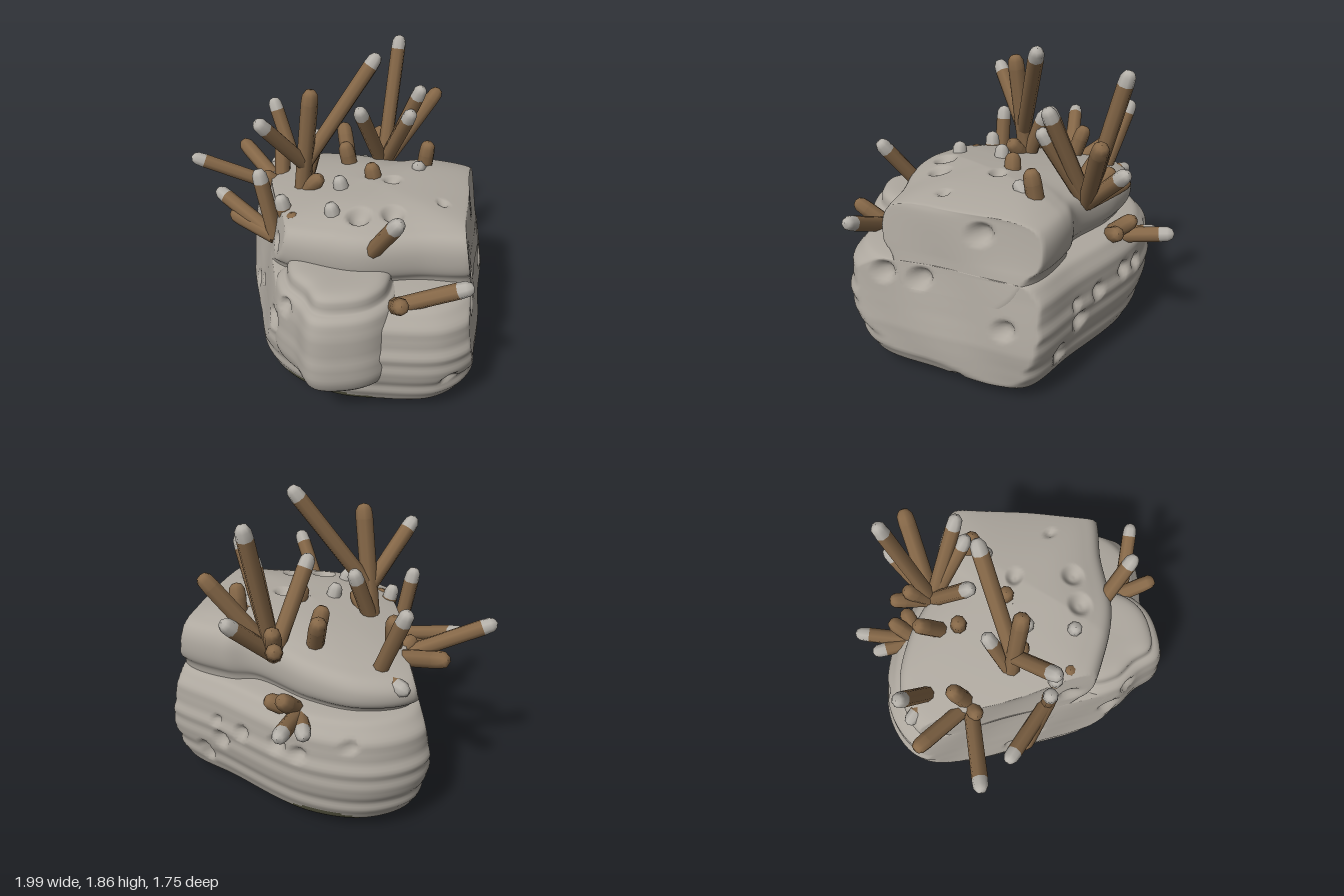
import * as THREE from 'three';

const mat = (name, color) => Object.assign(new THREE.MeshStandardMaterial({ color }), { name });

// Small seeded generator for scattered dimples
let seed = 7;
const random = () => (seed = (seed * 16807) % 2147483647) / 2147483647;
const scatter = (count, u0, u1, v0, v1) => Array.from({ length: count }, () =>
  [u0 + (u1 - u0) * random(), v0 + (v1 - v0) * random(), 0.04 + 0.03 * random()]);

// Dimples per face as [u, v, radius]: z faces use (x,y), x uses (z,y), y uses (x,z)
const frontDimples = [[-0.53, 0.36, 0.055], [-0.4, 0.46, 0.04], [-0.7, 0.22, 0.055], [-0.03, 0.54, 0.07], [0.1, 0.7, 0.06], [-0.18, 0.88, 0.06], [-0.68, 0.86, 0.06], [0.94, 0.27, 0.05]];
const sideDimples = [[0.07, 0.67, 0.075], [-0.13, 0.67, 0.075], [-0.42, 0.99, 0.075], [-0.61, 0.48, 0.07], [0.33, 0.3, 0.05], [-0.35, 0.08, 0.05]];
const topDimples = [[0.4, 0.16, 0.075], [0.26, 0.29, 0.08], [0.2, -0.13, 0.06], [0.57, -0.1, 0.04]];
const dimpledFaces = [
  ['z', 1, frontDimples], ['x', 1, sideDimples], ['y', 1, topDimples],
  ['z', -1, scatter(8, -0.7, 0.5, 0.15, 0.68)], ['y', -1, scatter(6, -0.2, 0.25, -0.2, 0.25)],
];

// Press the surface into the flat cut planes, then add the dimples
function weather(p, c) {
  const wave = 0.006 * (Math.sin(p.x * 9 + p.y * 5) + Math.sin(p.z * 11 - p.y * 7));
  const cut = (nx, nz, d) => {
    const over = Math.max(0, nx * p.x + nz * p.z - d - wave);
    p.x -= nx * over;
    p.z -= nz * over;
  };
  cut(-0.69, 0.724, 0.61 - 0.2 * Math.max(0, p.y - 0.25));
  cut(0.893, -0.45, 0.81 - 0.15 * Math.max(0, p.y - 0.35));
  const q = p.clone();
  for (const [axis, side, dimples] of dimpledFaces) {
    const a = axis === 'x' ? q.z : q.x, b = axis === 'y' ? q.z : q.y;
    const mid = axis === 'x' ? c[0] : axis === 'z' ? c[1] : 0.5;
    if ((q[axis] - mid) * side < 0.15) continue;
    for (const [u, v, r] of dimples) {
      const d = Math.hypot(a - u, b - v) / r;
      if (d < 1) p[axis] -= side * r * 0.6 * (1 - d * d) ** 2 * (1 + d);
    }
  }
  p.y = Math.max(0, p.y);
}

// Stone loft: a closed plan outline (clockwise from above) scaled along a [scale, height] profile
function stone(name, outline, c, profile, n, m, materials, { tilt = 0, ripple = 0, stain = () => false } = {}) {
  const ring = new THREE.CatmullRomCurve3(outline.map(([x, z]) => new THREE.Vector3(x, 0, z)), true).getSpacedPoints(n).slice(0, n);
  const rows = new THREE.CatmullRomCurve3(profile.map(([s, y]) => new THREE.Vector3(s, y, 0))).getSpacedPoints(m);
  const pts = [], plain = [], stained = [];
  for (const { x: s0, y } of rows) {
    const layers = s0 > 0.85 ? ripple * (Math.sin(y * 42) + 0.6 * Math.sin(y * 67 + 1)) : 0;
    const s = Math.max(0.001, s0 + layers);
    for (const r of ring) {
      const p = new THREE.Vector3(c[0] + (r.x - c[0]) * s, y, c[1] + (r.z - c[1]) * s);
      if (y > 0.75) p.y -= (y - 0.75) * tilt * Math.max(0, 0.2 - p.x);
      weather(p, c);
      pts.push(p);
    }
  }
  for (let i = 0; i < m; i++) for (let j = 0; j < n; j++) {
    const a = i * n + j, b = i * n + (j + 1) % n;
    (stain(pts[a]) ? stained : plain).push(a, a + n, b, b, a + n, b + n);
  }
  const g = new THREE.BufferGeometry().setFromPoints(pts);
  g.setIndex(plain.concat(stained));
  g.addGroup(0, plain.length, 0);
  g.addGroup(plain.length, stained.length, 1);
  g.computeVertexNormals();
  const mesh = new THREE.Mesh(g, materials);
  mesh.name = name;
  return mesh;
}

// Branch with a bevelled end
function makeBranch(base, end, r, shaftMat, tipMat) {
  const from = new THREE.Vector3(...base), dir = new THREE.Vector3(...end).sub(from);
  const len = dir.length(), join = len - 0.085;
  const branch = new THREE.Group();
  branch.name = 'branch';
  branch.position.copy(from);
  branch.quaternion.setFromUnitVectors(new THREE.Vector3(0, 1, 0), dir.normalize());
  const add = (name, points, material) => {
    const mesh = new THREE.Mesh(new THREE.LatheGeometry(points.map((p) => new THREE.Vector2(...p)), 8), material);
    mesh.name = name;
    branch.add(mesh);
  };
  add('branchFoot', [[0, 0], [r, 0]], shaftMat);
  add('branchShaft', [[r, 0], [r, join]], shaftMat);
  add('branchTip', [[r, join], [r * 0.92, len - 0.035], [r * 0.6, len - 0.01], [0, len]], tipMat);
  return branch;
}

export function createModel() {
  const model = new THREE.Group();
  const rock = mat('grey rock', 0xaea89f), soil = mat('dark olive soil', 0x5c5b45);
  const brown = mat('brown branch', 0x866848), pale = mat('pale tip', 0xb5b1aa);
  const rocks = [rock, soil];

  // Layered base, with dark hollows under the front and back rims
  const hollow = (p) => {
    const lens = (t) => p.y > 0.07 && p.y < 0.085 + 0.055 * (1 - t * t);
    return (p.z > 0.2 && lens((p.x - 0.24) / 0.44)) || (p.x < 0 && p.z < -0.2 && lens((p.x - p.z) / 0.35));
  };
  model.add(stone('rockBase',
    [[-0.93, -0.16], [-0.82, -0.44], [-0.5, -0.65], [0.14, -0.74], [0.54, -0.78], [0.68, -0.64], [0.85, -0.24],
      [0.99, 0.14], [0.92, 0.38], [0.63, 0.6], [0.4, 0.72], [0.1, 0.76], [-0.16, 0.69], [-0.47, 0.42], [-0.8, 0.1]],
    [0.03, 0],
    [[0, 0], [0.57, 0.012], [0.8, 0.05], [0.9, 0.11], [0.94, 0.2], [1, 0.4], [0.99, 0.55], [0.96, 0.68], [0.9, 0.74], [0.75, 0.77], [0, 0.8]],
    230, 130, rocks, { ripple: 0.006, stain: hollow }));

  // Upper slab, lower toward the -x end, running out into both cut planes
  model.add(stone('upperRock',
    [[0.82, -0.32], [0.53, -0.73], [0.15, -0.67], [0, -0.57], [-0.4, -0.52], [-0.68, -0.4], [-0.85, -0.15], [-0.76, 0.12],
      [-0.48, 0.42], [-0.15, 0.59], [0.1, 0.56], [0.38, 0.46], [0.64, 0.24], [0.93, 0]].reverse(),
    [0.05, -0.05],
    [[0.9, 0.6], [0.93, 0.79], [0.98, 0.84], [1, 0.9], [0.99, 0.99], [0.94, 1.05], [0.8, 1.09], [0.5, 1.13], [0, 1.15]],
    200, 75, rocks, { tilt: 0.35 }));

  // Rounded column bulging from the front, stepped in to a cap
  model.add(stone('frontBulge',
    [[0.1, 0.2], [0.5, 0.2], [0.64, 0.42], [0.63, 0.62], [0.53, 0.77], [0.36, 0.88], [0.19, 0.81], [0, 0.75], [-0.14, 0.58]],
    [0.28, 0.45],
    [[0.5, 0.18], [0.84, 0.26], [0.95, 0.32], [1, 0.4], [0.98, 0.5], [0.96, 0.62], [0.92, 0.73], [0.85, 0.77], [0.76, 0.79], [0.75, 0.84], [0.67, 0.87], [0, 0.88]],
    110, 70, rocks, { ripple: 0.005 }));

  // A clump fans out from one base: pale-tipped branches and all-brown ones
  const clump = (name, base, paleEnds, brownEnds) => {
    const group = new THREE.Group();
    group.name = name;
    for (const end of paleEnds) group.add(makeBranch(base, end, 0.046, brown, pale));
    for (const end of brownEnds) group.add(makeBranch(base, end, 0.05, brown, brown));
    model.add(group);
  };
  clump('backClump', [-0.13, 0.98, -0.52],
    [[-0.17, 1.8, -0.74], [-0.09, 1.28, -0.84], [0.17, 1.61, -0.48], [0.15, 1.47, -0.41], [-0.11, 1.49, -0.21]],
    [[0.1, 1.48, -0.81], [-0.31, 1.13, -0.68], [-0.23, 1.2, -0.62]]);
  clump('middleTrunk', [-0.28, 1, 0.14], [[-0.27, 1.38, -0.03]], [[-0.18, 1.71, 0.15], [-0.13, 1.17, 0.14]]);
  clump('middleFork', [-0.25, 1.22, 0.14], [[0.01, 1.85, -0.24], [-0.32, 1.59, 0.46]], []);
  clump('sideClump', [-0.55, 0.91, 0.02],
    [[-0.98, 1.15, 0.38]],
    [[-0.97, 1.09, -0.07], [-0.6, 1.21, -0.06], [-0.62, 1.03, 0.12]]);
  clump('sideTwigs', [-0.62, 0.92, -0.21], [[-0.83, 1.38, -0.24], [-0.85, 0.91, -0.23]], []);
  clump('frontClump', [-0.28, 0.83, 0.4],
    [[-0.35, 1.28, 0.44], [-0.75, 1, 0.4]],
    [[-0.62, 0.89, 0.42]]);
  clump('shoulderClump', [0.34, 0.88, 0.36], [[0.63, 1.28, 0.44]], [[0.31, 1.01, 0.44]]);
  clump('cornerClump', [0.61, 0.73, 0.43], [[0.99, 0.93, 0.27]], [[0.74, 0.88, 0.58]]);
  clump('rearTopClump', [0.21, 1.02, -0.47], [[0.25, 1.17, -0.33]], [[0.25, 1.28, -0.45]]);
  clump('lowBackClump', [-0.33, 0.7, -0.52],
    [[-0.52, 0.78, -0.87], [-0.56, 0.73, -0.72]],
    [[-0.36, 0.87, -0.7], [-0.23, 0.81, -0.69]]);
  clump('slantedStub', [-0.27, 1, -0.34], [], [[-0.39, 1.25, -0.43]]);

  // Short stubs rising almost straight from the top
  const paleStubs = [[-0.03, 1.19, 0.1], [0.1, 1.17, 0.35], [-0.22, 1.14, 0.41]];
  const brownStubs = [[-0.11, 1.07, 0.44], [0.06, 1.22, -0.1], [-0.24, 1.22, -0.24]];
  const foot = ([x, y, z]) => [x + 0.03, y - 0.19, z - 0.03];
  paleStubs.forEach((end) => clump('stub', foot(end), [end], []));
  brownStubs.forEach((end) => clump('stub', foot(end), [], [end]));
  return model;
}
